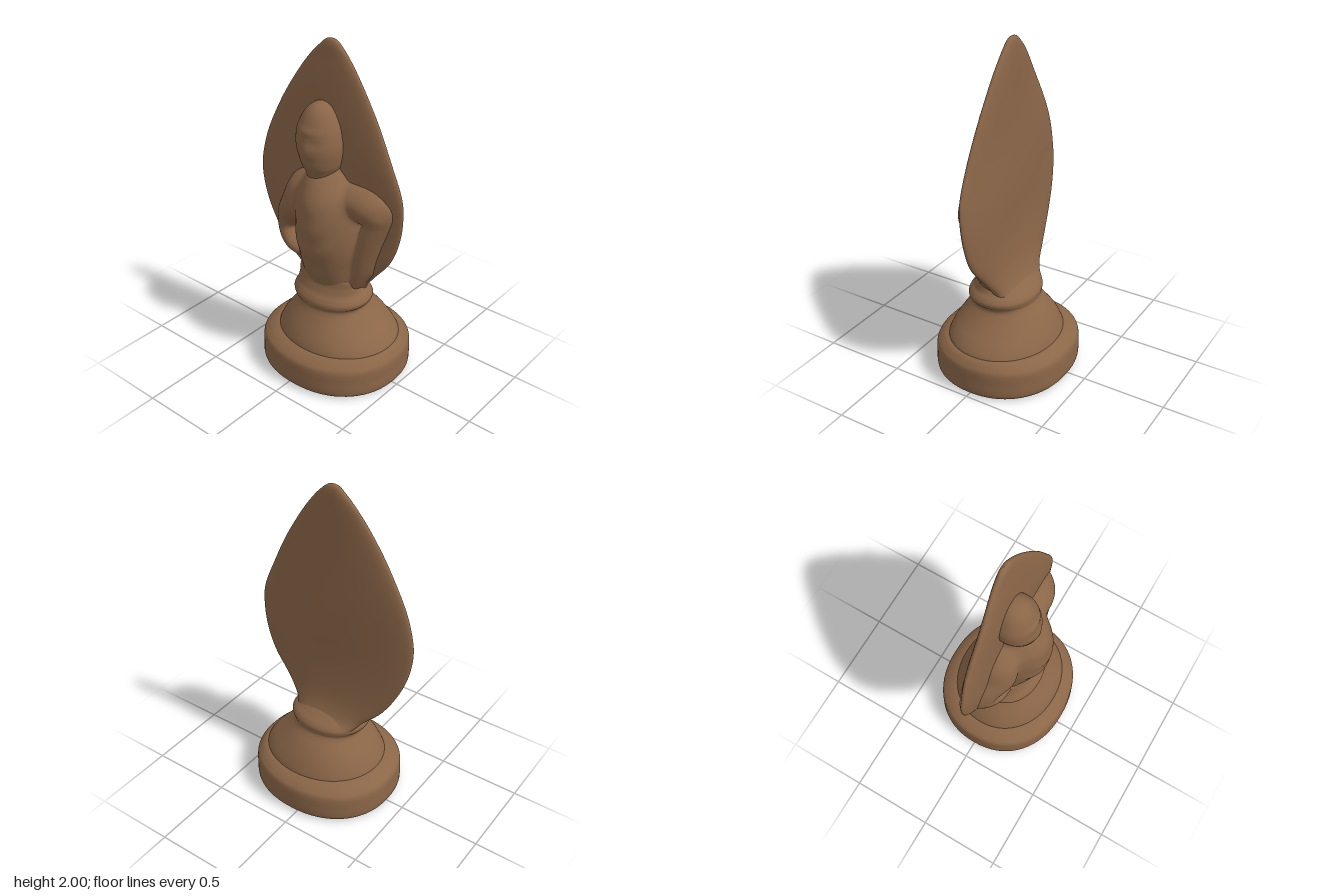
import * as THREE from 'three';

const brown = new THREE.MeshStandardMaterial({ color: 0x8b6648 });
brown.name = 'carved brown';

// Smooth interpolation through rows of numbers, t from 0 to 1
function sample(rows, t) {
  const f = t * (rows.length - 1);
  const i = Math.min(Math.floor(f), rows.length - 2);
  const u = f - i;
  const row = (k) => rows[Math.max(0, Math.min(rows.length - 1, k))];
  return rows[i].map((_, c) => {
    const [a, b, d, e] = [row(i - 1)[c], row(i)[c], row(i + 1)[c], row(i + 2)[c]];
    return b + 0.5 * u * (d - a + u * (2 * a - 5 * b + 4 * d - e + u * (3 * (b - d) + e - a)));
  });
}

function namedMesh(name, geometry) {
  geometry.computeVertexNormals();
  const mesh = new THREE.Mesh(geometry, brown);
  mesh.name = name;
  return mesh;
}

// Skin over horizontal sections [y, centre x, centre z, radius x, radius z]
function loft(name, rows, { power = 2, around = 72, steps = 72, shape = null } = {}) {
  const pos = [], index = [];
  const bend = (v) => Math.sign(v) * Math.abs(v) ** (2 / power);
  for (let j = 0; j <= steps; j++) {
    const [y, cx, cz, rx, rz] = sample(rows, j / steps);
    for (let i = 0; i < around; i++) {
      const a = (i / around) * Math.PI * 2;
      const p = new THREE.Vector3(
        cx + Math.max(0, rx) * bend(Math.cos(a)), y, cz + Math.max(0, rz) * bend(Math.sin(a)));
      if (shape) shape(p, Math.sin(a));
      pos.push(p.x, p.y, p.z);
      if (j < steps) {
        const k = j * around + i, n = j * around + (i + 1) % around;
        index.push(k, k + around, n, n, k + around, n + around);
      }
    }
  }
  const g = new THREE.BufferGeometry();
  g.setAttribute('position', new THREE.Float32BufferAttribute(pos, 3));
  g.setIndex(index);
  return namedMesh(name, g);
}

const bump = (p, x, y, sx, sy) => Math.exp(-(((p.x - x) / sx) ** 2) - ((p.y - y) / sy) ** 2);

// Back panel sections: [y, left edge, right edge, middle z, half thickness]
const PANEL = [
  [0.5, -0.18, 0.22, -0.05, 0.11], [0.56, -0.23, 0.235, -0.028, 0.073], [0.66, -0.33, 0.31, -0.01, 0.056],
  [0.8, -0.415, 0.42, 0, 0.05], [0.95, -0.475, 0.478, 0.004, 0.047], [1.1, -0.5, 0.5, 0.006, 0.046],
  [1.23, -0.488, 0.49, 0.008, 0.045], [1.4, -0.437, 0.42, 0.01, 0.044], [1.6, -0.335, 0.322, 0.008, 0.039],
  [1.79, -0.213, 0.207, 0.005, 0.032], [1.9, -0.13, 0.127, 0.001, 0.026], [1.96, -0.07, 0.072, -0.001, 0.022],
  [1.99, -0.035, 0.035, -0.002, 0.014], [2, 0, 0, -0.002, 0],
];

// Carved masses, each a run of [x, y, radius, height in z]
const MASSES = {
  body: [[0.03, 0.5, 0.225, 0.165], [0.035, 0.62, 0.21, 0.165], [0.04, 0.76, 0.21, 0.215],
    [0.045, 0.9, 0.225, 0.256], [0.045, 1.05, 0.215, 0.256], [0.03, 1.13, 0.18, 0.225],
    [0.01, 1.22, 0.135, 0.165], [0, 1.3, 0.1, 0.14]],
  leftShoulder: [[0.06, 1.14, 0.11, 0.14], [0.18, 1.145, 0.105, 0.14], [0.29, 1.125, 0.12, 0.135],
    [0.36, 1.11, 0.1, 0.105]],
  leftForearm: [[0.37, 1.08, 0.08, 0.1], [0.32, 0.96, 0.085, 0.11], [0.28, 0.84, 0.085, 0.11],
    [0.25, 0.7, 0.075, 0.1], [0.22, 0.56, 0.06, 0.09]],
  rightUpperArm: [[-0.09, 1.16, 0.1, 0.15], [-0.15, 1.11, 0.11, 0.165], [-0.19, 1.01, 0.115, 0.17],
    [-0.26, 0.92, 0.1, 0.125], [-0.3, 0.85, 0.08, 0.095]],
  rightForearm: [[-0.3, 0.88, 0.07, 0.09], [-0.29, 0.79, 0.085, 0.105], [-0.23, 0.74, 0.07, 0.125],
    [-0.16, 0.72, 0.06, 0.13]],
};

// Robed body and arms, blended together and rising out of the panel
function robedFigure() {
  const masses = Object.values(MASSES).map((rows) =>
    Array.from({ length: 81 }, (_, i) => sample(rows, i / 80)));
  const rows = PANEL.slice(0, 8);
  const g = new THREE.PlaneGeometry(1, 1, 110, 110);
  const pos = g.attributes.position, p = new THREE.Vector3();
  for (let k = 0; k < pos.count; k++) {
    const across = pos.getX(k) * 2;
    const [y, left, right] = sample(rows, pos.getY(k) + 0.5);
    p.set(THREE.MathUtils.lerp(left, right, 0.5 + across * 0.48), y, 0);
    let sum = 0;
    for (const discs of masses) {
      let top = 0;
      for (const [cx, cy, r, h] of discs) {
        const inside = 1 - ((p.x - cx) ** 2 + (p.y - cy) ** 2) / (r * r);
        if (inside > 0) top = Math.max(top, h * inside ** 0.55);
      }
      sum += top ** 8;
    }
    // heights die away at the rim so the figure closes onto the panel
    p.z = sum ** (1 / 8) * Math.sqrt(Math.max(0, 1 - across ** 10));
    // hanging curved folds, strongest on the chest
    const x = p.x - 0.03;
    p.z += 0.004 * bump(p, 0.03, 0.87, 0.14, 0.2) * Math.sin((p.y - 3.5 * x * x) * 40);
    pos.setXYZ(k, p.x, p.y, p.z);
  }
  return namedMesh('robedFigure', g);
}

export function createModel() {
  const model = new THREE.Group();
  model.name = 'devotionalCarving';

  // Foot with a hollow underside
  model.add(loft('pedestalFoot', [
    [0.07, 0.04, 0, 0, 0], [0.07, 0.04, 0, 0.14, 0.11], [0.10, 0.04, 0, 0.21, 0.18],
    [0.07, 0.04, 0, 0.29, 0.25], [0.015, 0.04, 0, 0.36, 0.32], [0.005, 0.04, 0, 0.41, 0.37],
    [0.03, 0.04, 0, 0.44, 0.4], [0.11, 0.04, 0, 0.442, 0.403], [0.175, 0.042, 0, 0.438, 0.398],
    [0.205, 0.047, 0, 0.418, 0.375], [0.23, 0.055, 0, 0.385, 0.335], [0.242, 0.055, 0, 0.345, 0.295],
  ], { power: 2.2, steps: 88 }));

  // Bell-shaped stem and collar ring
  model.add(loft('pedestalStem', [
    [0.18, 0.06, 0, 0.38, 0.33], [0.24, 0.06, 0, 0.366, 0.32], [0.29, 0.053, 0, 0.334, 0.3],
    [0.34, 0.042, 0, 0.29, 0.272], [0.39, 0.036, 0.003, 0.244, 0.238], [0.43, 0.035, 0.01, 0.213, 0.208],
    [0.455, 0.035, 0.015, 0.215, 0.195], [0.475, 0.035, 0.02, 0.235, 0.2], [0.5, 0.035, 0.02, 0.243, 0.2],
    [0.525, 0.035, 0.022, 0.23, 0.185], [0.55, 0.03, 0.03, 0.213, 0.158], [0.59, 0.03, 0.045, 0.2, 0.125],
    [0.66, 0.03, 0.045, 0.18, 0.1], [0.72, 0.03, 0.045, 0, 0],
  ], { power: 2.1, steps: 104 }));

  // Pointed back panel, slightly dished
  model.add(loft('backPanel', PANEL.map(([y, l, r, z, h]) => [y, (l + r) / 2, z, (r - l) / 2, h]), {
    power: 2.3, around: 80, steps: 90,
    shape: (p) => { p.z += 0.03 * p.x * p.x - 0.012 * p.x + 0.003 * Math.sin(p.y * 9 + p.x * 5); },
  }));

  model.add(robedFigure());

  // Hooded head with soft brow, nose and chin, set into the panel
  model.add(loft('hoodedHead', [
    [1.22, 0, 0.06, 0.08, 0.09], [1.28, 0, 0.06, 0.092, 0.11], [1.33, 0, 0.065, 0.112, 0.13],
    [1.42, -0.008, 0.068, 0.136, 0.14], [1.5, -0.015, 0.068, 0.134, 0.13], [1.56, -0.016, 0.068, 0.116, 0.112],
    [1.62, -0.016, 0.065, 0.083, 0.085], [1.655, -0.016, 0.06, 0.045, 0.05], [1.668, -0.016, 0.06, 0, 0],
  ], {
    power: 2.05,
    shape: (p, front) => {
      p.z = Math.max(p.z, 0.01);
      if (front > 0) {
        p.z += front * (0.006 * bump(p, -0.01, 1.42, 0.03, 0.05) + 0.006 * bump(p, -0.01, 1.53, 0.09, 0.02)
          - 0.005 * bump(p, -0.06, 1.47, 0.035, 0.02) - 0.005 * bump(p, 0.04, 1.47, 0.035, 0.02)
          - 0.004 * bump(p, -0.01, 1.37, 0.05, 0.015));
      }
    },
  }));
  return model;
}
